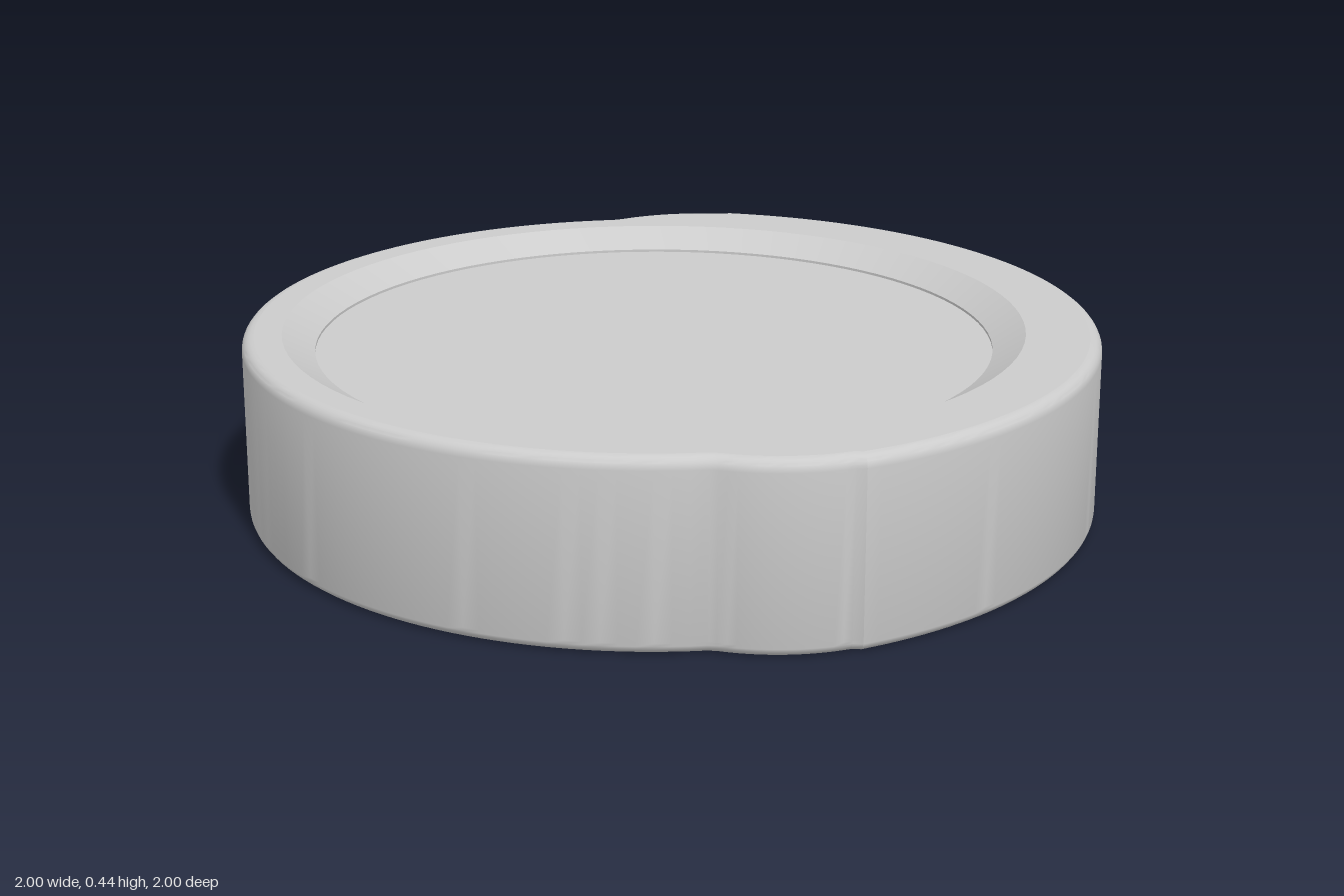
import * as THREE from 'three';
import { toCreasedNormals } from 'three/addons/utils/BufferGeometryUtils.js';

const CX = -0.04;       // centre of the round body and recess
const H = 0.435;        // total height
const BEVEL = 0.028;    // edge rounding
const V = (x, y) => new THREE.Vector2(x, y);

const arc = (cx, cy, r, a0, a1, n) => Array.from({ length: n + 1 }, (_, i) => {
  const a = a0 + (a1 - a0) * i / n;
  return V(cx + r * Math.cos(a), cy + r * Math.sin(a));
});

// Counter-clockwise plan: wide arc, blending shoulder, narrow arc, mirrored shoulder
function bodyOutline() {
  const join = Math.atan2(0.99, 0.32);
  const shoulderEnd = Math.atan2(0.366, -0.19);
  const wide = arc(CX, 0, 1.04, -join, join, 80);
  const shoulder = arc(0.15, 0.588, 0.412, join, shoulderEnd, 16);
  const narrow = arc(CX, 0, 0.957, Math.PI / 2, Math.PI * 1.5, 80);
  const mirrored = shoulder.map(p => V(p.x, -p.y)).reverse();
  return [...wide, ...shoulder.slice(1, -1), ...narrow, ...mirrored.slice(1, -1)];
}

// Move a closed outline inward along its normals
function inset(pts, d) {
  const n = pts.length;
  return pts.map((p, i) => {
    const t = pts[(i + 1) % n].clone().sub(pts[(i + n - 1) % n]).normalize();
    return V(p.x - t.y * d, p.y + t.x * d);
  });
}

// Skin between closed rings, each given as { pts, y }
function loft(rings, crease) {
  const n = rings[0].pts.length, pos = [], idx = [];
  rings.forEach(({ pts, y }) => pts.forEach(p => pos.push(p.x, y, -p.y)));
  for (let r = 0; r < rings.length - 1; r++) {
    for (let j = 0; j < n; j++) {
      const a = r * n + j, b = r * n + (j + 1) % n;
      idx.push(a, b, b + n, a, b + n, a + n);
    }
  }
  const g = new THREE.BufferGeometry();
  g.setAttribute('position', new THREE.Float32BufferAttribute(pos, 3));
  g.setIndex(idx);
  return toCreasedNormals(g, crease);
}

// Flat face with holes, facing up or down
function face(pts, holes, y, up) {
  const s = new THREE.Shape(pts);
  holes.forEach(h => s.holes.push(new THREE.Path(h)));
  return new THREE.ShapeGeometry(s).rotateX(up ? -Math.PI / 2 : Math.PI / 2).translate(0, y, 0);
}

export function createModel() {
  const group = new THREE.Group();
  const mat = new THREE.MeshStandardMaterial({ color: 0xcccccc });
  const add = (name, geo) => {
    const m = new THREE.Mesh(geo, mat);
    m.name = name;
    group.add(m);
  };

  // Side wall with rounded lower and upper edges
  const outline = bodyOutline();
  const rings = [], steps = 6;
  for (let i = 0; i <= steps; i++) {
    const a = (i / steps) * Math.PI / 2;
    rings.push({ pts: inset(outline, BEVEL * (1 - Math.sin(a))), y: BEVEL * (1 - Math.cos(a)) });
  }
  [...rings].reverse().forEach(r => rings.push({ pts: r.pts, y: H - r.y }));
  add('sideWall', loft(rings, 0.4));

  // Top rim and the dished recess inside it
  const rimEdge = arc(CX, 0, 0.865, 0, Math.PI * 2, 96).slice(0, -1);
  add('topRim', face(inset(outline, BEVEL), [rimEdge], H, true));
  const dish = new THREE.LatheGeometry(
    [V(0.865, H), V(0.79, H - 0.044), V(0.79, H - 0.05), V(0, H - 0.05)], 96);
  add('recess', toCreasedNormals(dish.translate(CX, 0, 0), 0.4));

  // Underside pockets: two curved slots and one small round-ended slot
  const half = Math.asin(0.247 / 0.832);
  const slot = [V(CX - 0.247, 0.635), V(CX + 0.247, 0.635),
    ...arc(CX, 0, 0.832, Math.PI / 2 - half, Math.PI / 2 + half, 16)];
  const pockets = [
    { name: 'backSlot', pts: slot, depth: 0.2 },
    { name: 'frontSlot', pts: slot.map(p => V(p.x, -p.y)).reverse(), depth: 0.2 },
    { name: 'smallSlot', depth: 0.1,
      pts: [V(0.62, 0.085), V(0.62, -0.085), ...arc(0.72, 0, 0.085, -Math.PI / 2, Math.PI / 2, 16)] },
  ];
  for (const { name, pts, depth } of pockets) {
    add(name + 'Walls', loft([{ pts, y: depth }, { pts, y: 0 }], 0.4));
    add(name + 'Floor', face(pts.map(p => V(p.x, -p.y)), [], depth, false));
  }
  add('underside', face(inset(outline, BEVEL), pockets.map(p => p.pts), 0, false));

  return group;
}
